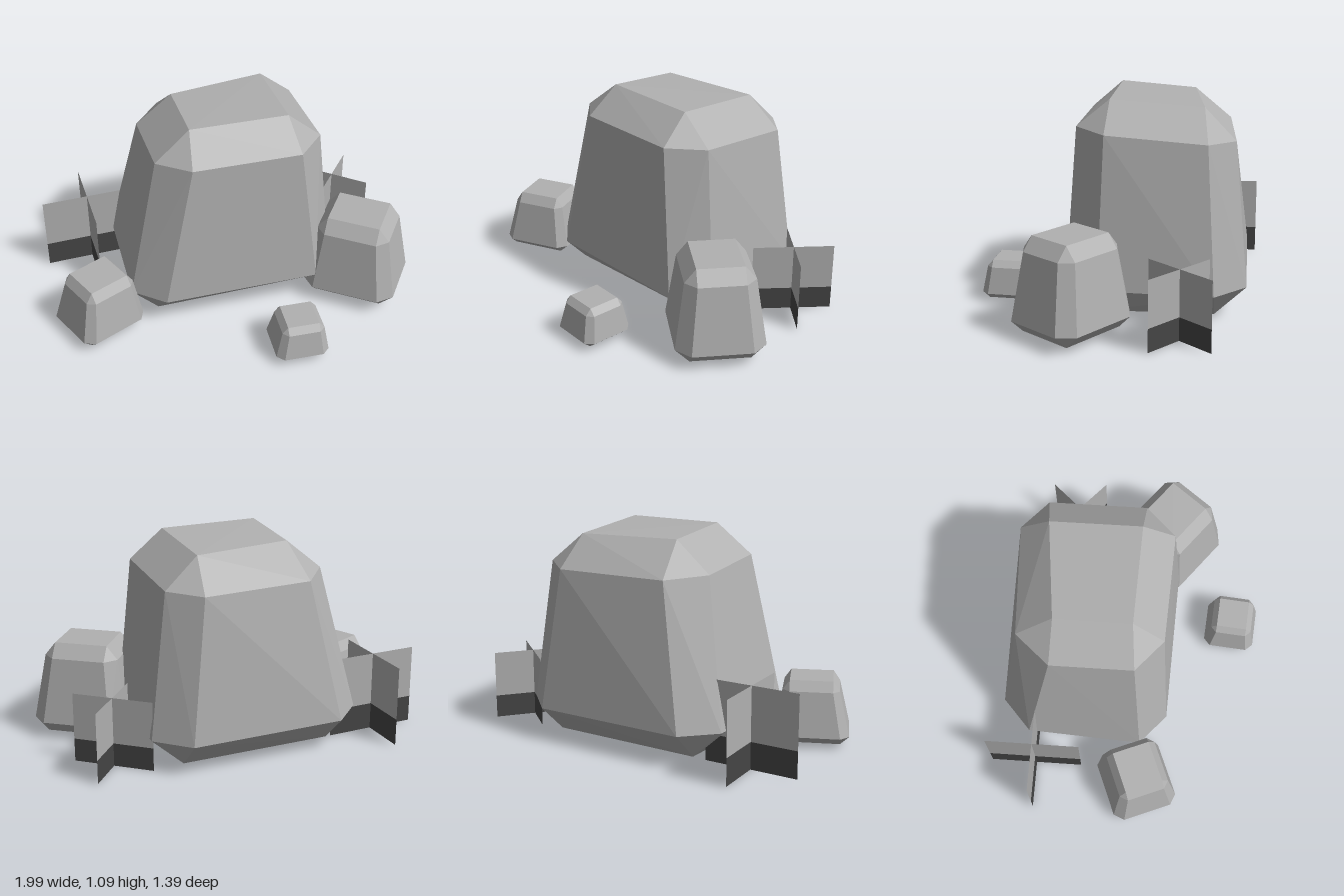
import * as THREE from 'three';
import { ConvexGeometry } from 'three/addons/geometries/ConvexGeometry.js';

const stone = new THREE.MeshStandardMaterial({ color: 0xb0b0b0 });
stone.name = 'stone';
const blade = new THREE.MeshStandardMaterial({ color: 0xb0b0b0, side: THREE.DoubleSide });
blade.name = 'grassUpper';
const root = new THREE.MeshStandardMaterial({ color: 0x454545, side: THREE.DoubleSide });
root.name = 'grassLower';

function rockMesh(name, points) {
  const mesh = new THREE.Mesh(new ConvexGeometry(points.map((p) => new THREE.Vector3(...p))), stone);
  mesh.name = name;
  return mesh;
}

// Tapered block with bevelled edges: two cut-corner rings between a base and a top quad
function smallRock({ name, x, z, angle, half, cut, taper, ys, shift }) {
  const points = [];
  const c = Math.cos(angle), s = Math.sin(angle);
  const add = (u, v, y, k, top) => points.push([
    x + (u * c - v * s) * k + (top ? shift[0] : 0),
    y,
    z + (u * s + v * c) * k + (top ? shift[1] : 0)]);
  for (const su of [-1, 1]) for (const sv of [-1, 1]) {
    const [hu, hv] = half;
    for (const [quadY, ringY, k, top] of [[ys[0], ys[1], 1, false], [ys[3], ys[2], taper, true]]) {
      add(su * (hu - cut), sv * (hv - cut), quadY, k, top);
      add(su * hu, sv * (hv - cut), ringY, k, top);
      add(su * (hu - cut), sv * hv, ringY, k, top);
    }
  }
  return rockMesh(name, points);
}

// Two upright crossed cards, each with a dark lower third
function grassCross(name, x, z, angle, width, height) {
  const group = new THREE.Group();
  group.name = name;
  for (const turn of [0, Math.PI / 2]) {
    for (const [part, y0, y1, material] of [['grassBase', 0, height / 3, root], ['grassTop', height / 3, height, blade]]) {
      const card = new THREE.Mesh(new THREE.PlaneGeometry(width, y1 - y0), material);
      card.position.y = (y0 + y1) / 2;
      card.rotation.y = turn;
      card.name = part;
      group.add(card);
    }
  }
  group.position.set(x, 0, z);
  group.rotation.y = angle;
  return group;
}

export function createModel() {
  const model = new THREE.Group();
  model.name = 'rockCluster';

  // Large leaning boulder: base, wide ring, shoulder ring, top
  const base = [[-0.485, -0.365], [0.29, -0.545], [0.43, 0.01], [-0.385, 0.22]];
  const wide = [[-0.64, -0.33], [-0.52, -0.515], [0.26, -0.70], [0.45, -0.585],
    [0.555, -0.02], [0.465, 0.18], [-0.335, 0.355], [-0.52, 0.26]];
  const shoulder = [[-0.465, 0.90, -0.235], [-0.36, 0.89, -0.445], [0.19, 0.89, -0.615], [0.365, 0.90, -0.52],
    [0.475, 0.935, -0.03], [0.365, 0.945, 0.155], [-0.185, 0.945, 0.27], [-0.37, 0.935, 0.175]];
  const top = [[-0.28, 1.055, -0.27], [0.20, 1.05, -0.455], [0.305, 1.08, 0.0], [-0.195, 1.085, 0.11]];
  model.add(rockMesh('largeRock', [
    ...base.map(([x, z]) => [x, 0.02, z]),
    ...wide.map(([x, z]) => [x, 0.17, z]),
    ...shoulder, ...top]));

  // Smaller rocks around it
  const rocks = [
    { name: 'leftRock', x: 0.70, z: 0.057, angle: 0.41, half: [0.25, 0.223], cut: 0.072,
      taper: 0.78, ys: [0.02, 0.09, 0.43, 0.50], shift: [-0.005, 0.0] },
    { name: 'rightRock', x: -0.695, z: 0.30, angle: -0.64, half: [0.188, 0.176], cut: 0.045,
      taper: 0.76, ys: [0.02, 0.06, 0.285, 0.335], shift: [0.01, 0.0] },
    { name: 'frontRock', x: 0.33, z: 0.535, angle: -0.17, half: [0.138, 0.138], cut: 0.036,
      taper: 0.8, ys: [0.02, 0.05, 0.187, 0.22], shift: [0.005, 0.0] },
  ];
  for (const rock of rocks) model.add(smallRock(rock));

  // Grass tufts behind the boulder
  model.add(grassCross('rightGrass', -0.76, -0.255, 0.25, 0.49, 0.42));
  model.add(grassCross('leftGrass', 0.625, -0.465, -0.474, 0.416, 0.36));
  return model;
}
